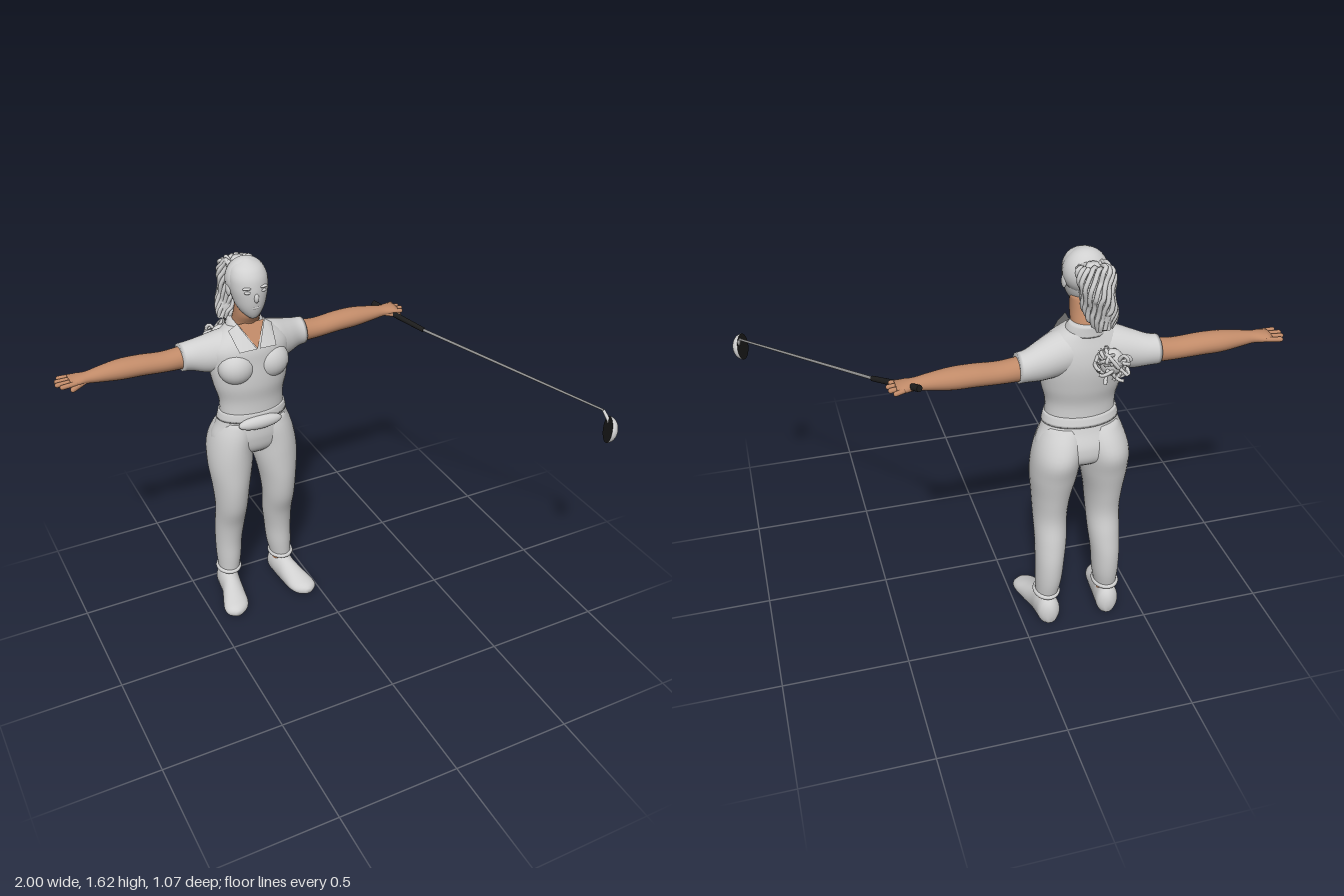
import * as THREE from 'three';

const mat = (name, color, side = THREE.FrontSide) => {
  const m = new THREE.MeshStandardMaterial({ color, side });
  m.name = name;
  return m;
};
const CX = -0.235; // body centre line

export function createModel() {
  const model = new THREE.Group();
  model.name = 'golfer';
  const pale = mat('pale grey', 0xd0d0d0), skin = mat('skin', 0xc08a68);
  const black = mat('black', 0x1c1c1c), steel = mat('steel', 0x8c8c8c);
  const cloth = mat('pale grey sheet', 0xd0d0d0, THREE.DoubleSide);

  let seed = 7;
  const rnd = () => ((seed = (seed * 16807) % 2147483647) / 2147483647) * 2 - 1;
  const V = (x, y, z) => new THREE.Vector3(x, y, z);
  const add = (name, geo, m) => {
    const mesh = new THREE.Mesh(geo, m);
    mesh.name = name;
    model.add(mesh);
    return mesh;
  };

  // Smooth body through elliptical sections [t, centreA, centreB, radiusA, radiusB].
  // axis y: A = x, B = z; axis x: A = y, B = z; axis z: A = x, B = y.
  function loft(name, axis, sections, m, steps = 28, seg = 32) {
    const rows = sections[0][0] > sections.at(-1)[0] ? [...sections].reverse() : sections;
    const spline = new THREE.CubicInterpolant(
      rows.map(r => r[0]), rows.flatMap(r => r.slice(1)), 4, new Float32Array(4));
    const place = (t, a, b) => axis === 'y' ? [a, t, b] : axis === 'x' ? [t, a, b] : [a, Math.max(0, b), t];
    const pos = [], idx = [];
    const t0 = rows[0][0], t1 = rows.at(-1)[0];
    for (let i = 0; i <= steps; i++) {
      const t = t0 + (t1 - t0) * i / steps;
      const [a, b, ra, rb] = spline.evaluate(t);
      for (let j = 0; j < seg; j++) {
        const q = j / seg * Math.PI * 2;
        pos.push(...place(t, a + Math.max(0.002, ra) * Math.cos(q), b + Math.max(0.002, rb) * Math.sin(q)));
      }
    }
    const tri = (p, q, r) => axis === 'y' ? idx.push(p, r, q) : idx.push(p, q, r);
    for (let i = 0; i < steps; i++) for (let j = 0; j < seg; j++) {
      const p = i * seg + j, q = i * seg + (j + 1) % seg;
      tri(p, q, p + seg);
      tri(q, q + seg, p + seg);
    }
    // End caps
    const lo = pos.length / 3, top = steps * seg;
    pos.push(...place(t0, rows[0][1], rows[0][2]), ...place(t1, rows.at(-1)[1], rows.at(-1)[2]));
    for (let j = 0; j < seg; j++) {
      const k = (j + 1) % seg;
      tri(lo, k, j);
      tri(lo + 1, top + j, top + k);
    }
    const g = new THREE.BufferGeometry();
    g.setAttribute('position', new THREE.Float32BufferAttribute(pos, 3));
    g.setIndex(idx);
    g.computeVertexNormals();
    return add(name, g, m);
  }
  const ball = (name, c, r, m) => {
    const b = add(name, new THREE.SphereGeometry(1, 24, 16), m);
    b.position.set(...c);
    b.scale.set(...r);
    return b;
  };
  const rod = (name, a, b, r0, r1, m, round = false) => {
    const len = a.distanceTo(b);
    const g = round ? new THREE.CapsuleGeometry(r0, len, 5, 10) : new THREE.CylinderGeometry(r1, r0, len, 16);
    const o = add(name, g, m);
    o.position.copy(a).add(b).multiplyScalar(0.5);
    o.quaternion.setFromUnitVectors(V(0, 1, 0), b.clone().sub(a).normalize());
    return o;
  };

  // Shirt, trousers top and belt
  loft('shirt', 'y', [
    [0.96, CX, -0.325, 0.137, 0.087], [1.03, CX, -0.325, 0.138, 0.088], [1.1, CX, -0.328, 0.156, 0.1],
    [1.2, CX, -0.335, 0.17, 0.104], [1.265, CX, -0.335, 0.165, 0.098], [1.31, CX, -0.34, 0.122, 0.082],
    [1.342, CX, -0.35, 0.07, 0.065]], pale);
  loft('hips', 'y', [
    [0.765, CX, -0.35, 0.12, 0.07], [0.79, CX, -0.35, 0.165, 0.095], [0.85, CX, -0.345, 0.178, 0.108],
    [0.92, CX, -0.333, 0.154, 0.096], [0.985, CX, -0.325, 0.133, 0.085]], pale);
  loft('belt', 'y', [[0.94, CX, -0.33, 0.151, 0.097], [0.96, CX, -0.328, 0.147, 0.094],
    [0.978, CX, -0.327, 0.142, 0.09]], pale, 4);
  ball('beltPouch', [CX, 0.935, -0.236], [0.095, 0.03, 0.026], pale);

  // Neck and open neckline
  loft('neck', 'y', [[1.27, CX, -0.34, 0.06, 0.06], [1.35, CX, -0.345, 0.055, 0.057],
    [1.4, CX, -0.322, 0.052, 0.062], [1.45, CX, -0.315, 0.05, 0.05]], skin, 14);
  loft('collarBand', 'y', [[1.32, CX, -0.352, 0.082, 0.07], [1.345, CX, -0.358, 0.074, 0.063],
    [1.362, CX, -0.364, 0.064, 0.057]], pale, 6);
  const sheet = (name, pts, m) => {
    const g = new THREE.BufferGeometry();
    g.setAttribute('position', new THREE.Float32BufferAttribute(pts.flat(), 3));
    g.setIndex(pts.length === 3 ? [0, 1, 2] : [0, 1, 2, 0, 2, 3]);
    g.computeVertexNormals();
    add(name, g, m);
  };
  sheet('neckline', [[CX, 1.272, -0.229], [CX + 0.055, 1.362, -0.289], [CX - 0.055, 1.362, -0.289]], skin);

  for (const s of [-1, 1]) {
    const X = d => CX + s * d;
    const side = s > 0 ? 'left' : 'right';
    const part = n => side + n;
    sheet(part('CollarFlap'), [[X(0.058), 1.365, -0.29], [X(0.006), 1.275, -0.222],
      [X(0.078), 1.272, -0.225], [X(0.092), 1.338, -0.3]], cloth);
    ball(part('Chest'), [X(0.072), 1.185, -0.283], [0.078, 0.075, 0.066], pale);

    // Arm and hand
    loft(part('Sleeve'), 'x', [[X(0.05), 1.245, -0.345, 0.088, 0.08], [X(0.12), 1.234, -0.352, 0.085, 0.08],
      [X(0.18), 1.225, -0.37, 0.074, 0.068], [X(0.235), 1.222, -0.388, 0.06, 0.056],
      [X(0.268), 1.221, -0.392, 0.057, 0.054]], pale, 18);
    loft(part('Arm'), 'x', [[X(0.24), 1.22, -0.393, 0.047, 0.047], [X(0.33), 1.216, -0.396, 0.041, 0.046],
      [X(0.43), 1.222, -0.4, 0.041, 0.048], [X(0.51), 1.223, -0.402, 0.04, 0.046],
      [X(0.6), 1.222, -0.401, 0.029, 0.034], [X(0.645), 1.221, -0.401, 0.022, 0.029],
      [X(0.68), 1.221, -0.404, 0.019, 0.04], [X(0.71), 1.221, -0.406, 0.014, 0.041]], skin, 26, 24);
    const reach = s > 0 ? 0.967 : 1;
    [[-0.372, 0.745], [-0.394, 0.758], [-0.416, 0.754], [-0.438, 0.74]].forEach(([z, d], i) =>
      rod(part('Finger' + (i + 1)), V(X(0.69), 1.221, z), V(X(d * reach), 1.219, z - 0.004 * (i - 1)),
        0.0095, 0, skin, true));
    rod(part('Thumb'), V(X(0.655), 1.214, -0.383), V(X(0.708), 1.204, -0.36), 0.0105, 0, skin, true);

    // Trouser leg, rolled cuff and ankle
    loft(part('TrouserLeg'), 'y', [
      [0.125, X(0.127), -0.378, 0.044, 0.054], [0.2, X(0.122), -0.382, 0.053, 0.065],
      [0.3, X(0.118), -0.38, 0.058, 0.07], [0.4, X(0.112), -0.364, 0.064, 0.074],
      [0.5, X(0.11), -0.338, 0.068, 0.084], [0.6, X(0.108), -0.335, 0.077, 0.098],
      [0.72, X(0.102), -0.345, 0.094, 0.112], [0.81, X(0.095), -0.354, 0.094, 0.12],
      [0.88, X(0.08), -0.345, 0.088, 0.106], [0.93, X(0.07), -0.335, 0.07, 0.085]], pale, 40);
    const cuff = add(part('Cuff'), new THREE.TorusGeometry(0.046, 0.01, 10, 28), pale);
    cuff.rotation.x = Math.PI / 2;
    cuff.scale.y = 1.18;
    cuff.position.set(X(0.127), 0.135, -0.379);
    rod(part('Ankle'), V(X(0.128), 0.09, -0.385), V(X(0.127), 0.14, -0.38), 0.036, 0.036, skin);

    // Shoe turned slightly outwards
    loft(part('Shoe'), 'z', [
      [-0.452, X(0.125), 0.045, 0.018, 0.035], [-0.435, X(0.126), 0.052, 0.04, 0.06],
      [-0.39, X(0.13), 0.055, 0.047, 0.069], [-0.33, X(0.137), 0.045, 0.046, 0.066],
      [-0.27, X(0.15), 0.034, 0.053, 0.051], [-0.215, X(0.162), 0.028, 0.056, 0.035],
      [-0.185, X(0.168), 0.025, 0.043, 0.026], [-0.167, X(0.17), 0.024, 0.016, 0.014]], pale);

    // Ear, eye and brow
    ball(part('Ear'), [X(0.076), 1.505, -0.315], [0.009, 0.026, 0.017], pale);
    ball(part('Eye'), [X(0.03), 1.517, -0.228], [0.015, 0.007, 0.009], pale);
    ball(part('Brow'), [X(0.032), 1.533, -0.228], [0.02, 0.006, 0.01], pale);
  }

  // Head
  loft('head', 'y', [
    [1.398, CX, -0.262, 0.018, 0.018], [1.412, CX, -0.273, 0.034, 0.038], [1.44, CX, -0.286, 0.054, 0.062],
    [1.48, CX, -0.294, 0.068, 0.077], [1.53, CX, -0.297, 0.076, 0.08], [1.575, CX, -0.301, 0.071, 0.072],
    [1.605, CX, -0.306, 0.05, 0.05], [1.623, CX, -0.308, 0.012, 0.012]], pale, 30);
  ball('nose', [CX, 1.492, -0.222], [0.011, 0.021, 0.014], pale);
  ball('lips', [CX, 1.451, -0.229], [0.02, 0.008, 0.009], pale);
  ball('hairCap', [CX, 1.54, -0.318], [0.083, 0.085, 0.073], pale);

  // Wavy ponytail of twisted strands
  const spine = new THREE.CatmullRomCurve3([V(CX, 1.56, -0.36), V(CX - 0.005, 1.588, -0.395),
    V(-0.245, 1.52, -0.415), V(-0.265, 1.43, -0.412), V(-0.285, 1.35, -0.405)]);
  loft('ponytailCore', 'y', [[1.34, -0.285, -0.405, 0.015, 0.015], [1.39, -0.278, -0.408, 0.045, 0.03],
    [1.48, -0.255, -0.412, 0.045, 0.027], [1.56, -0.238, -0.4, 0.042, 0.033],
    [1.6, CX, -0.392, 0.02, 0.016]], pale, 20, 20);
  for (let k = 0; k < 16; k++) {
    const a = k / 16 * Math.PI * 2, pts = [];
    for (let i = 0; i <= 12; i++) {
      const t = i / 12, q = a + t * 2.5;
      const r = 0.018 + 0.034 * Math.sin(Math.PI * (0.1 + 0.8 * t)) + 0.006 * Math.sin(i * 1.7 + k);
      pts.push(spine.getPoint(t).add(V(r * 1.2 * Math.cos(q), 0.008 * rnd(), r * 0.66 * Math.sin(q))));
    }
    add('ponytailStrand', new THREE.TubeGeometry(new THREE.CatmullRomCurve3(pts), 36, 0.009, 7), pale);
  }

  // Loose curls at the end of the ponytail
  ball('curlCore', [-0.3, 1.235, -0.462], [0.045, 0.052, 0.035], pale);
  for (let k = 0; k < 34; k++) {
    const d = V(rnd(), rnd(), rnd()).normalize(), bend = V(rnd(), rnd(), rnd()).multiplyScalar(0.025);
    const at = f => V(-0.3 + d.x * 0.066 * f, 1.235 + d.y * 0.07 * f, -0.475 + d.z * 0.06 * f);
    const curve = new THREE.CatmullRomCurve3([at(0.2), at(0.6).add(bend), at(0.95), at(0.8).sub(bend)]);
    add('curl', new THREE.TubeGeometry(curve, 14, 0.007, 6), pale);
  }

  // Golf club held in the left hand
  const butt = V(0.4, 1.235, -0.457), gripEnd = V(0.53, 1.172, -0.245), tip = V(0.965, 1.026, 0.44);
  rod('clubGrip', butt, gripEnd, 0.013, 0.01, black);
  rod('clubShaft', gripEnd, tip, 0.006, 0.0045, steel);
  const out = V(0.9, -0.15, 0.4).normalize();
  const head = new THREE.Group();
  head.name = 'clubHead';
  const dome = new THREE.Mesh(new THREE.SphereGeometry(1, 32, 12, 0, Math.PI * 2, 0, Math.PI / 2), pale);
  dome.name = 'clubHeadBody';
  dome.scale.set(0.054, 0.038, 0.054);
  const face = new THREE.Mesh(new THREE.CircleGeometry(0.054, 32), black);
  face.name = 'clubHeadFace';
  face.rotation.x = Math.PI / 2;
  head.add(dome, face);
  head.position.set(0.957, 0.965, 0.49);
  head.quaternion.setFromUnitVectors(V(0, 1, 0), out);
  model.add(head);
  rod('clubHosel', tip, V(0.975, 0.985, 0.475), 0.006, 0.008, pale);

  return model;
}
